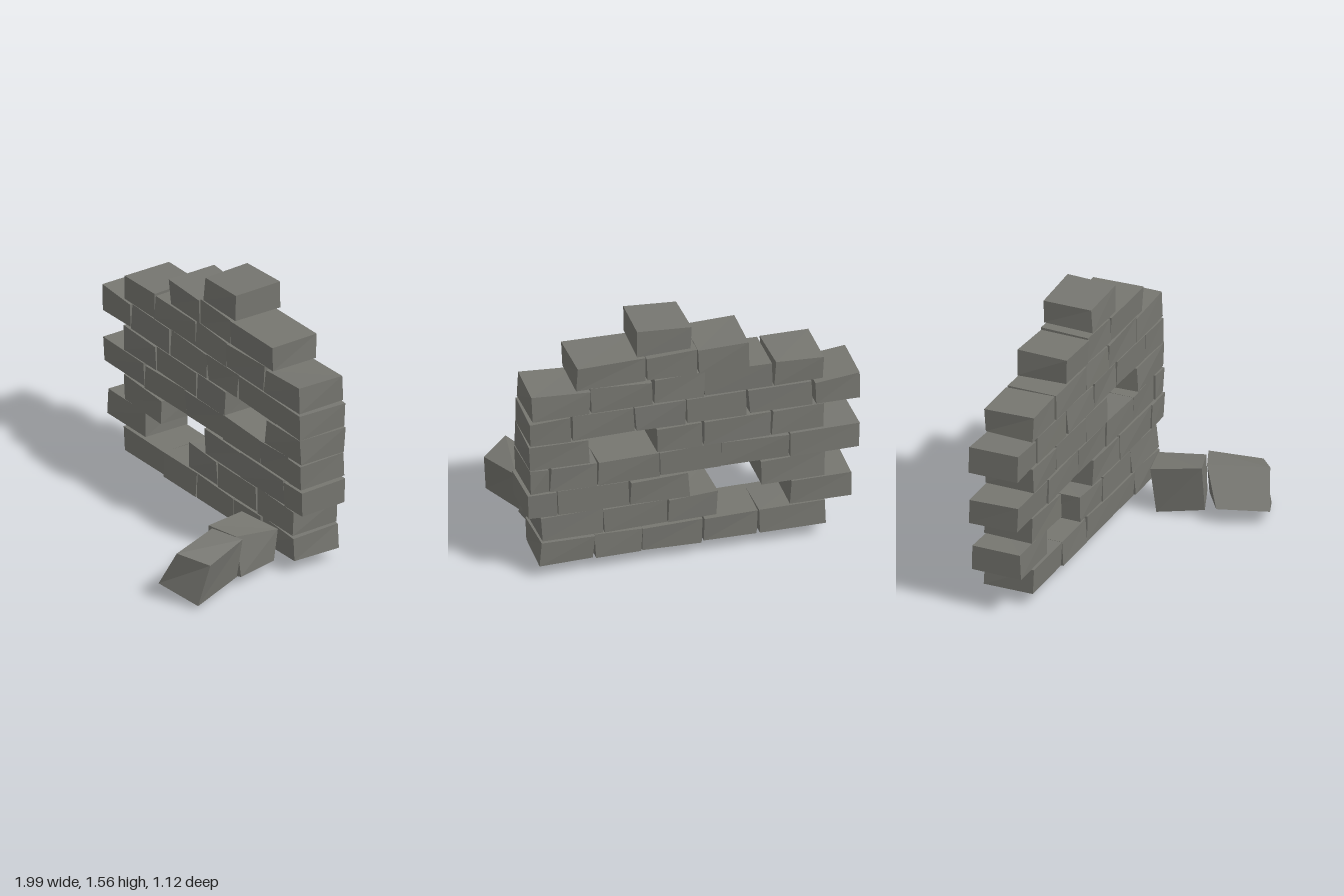
import * as THREE from 'three';

const stone = new THREE.MeshStandardMaterial({ color: 0x767670 });
stone.name = 'grey stone';

// Small seeded generator for the rough-cut corners
let seed = 7;
function jitter(amount) {
  seed = (seed * 16807) % 2147483647;
  return (seed / 2147483647 - 0.5) * 2 * amount;
}

// Box whose eight corners are placed freely.
// Corner order: x left/right, then y bottom/top, then z back/front.
function block(name, corners) {
  const box = new THREE.BoxGeometry(1, 1, 1);
  const p = box.attributes.position;
  for (let i = 0; i < p.count; i++) {
    const k = (p.getX(i) > 0 ? 1 : 0) + (p.getY(i) > 0 ? 2 : 0) + (p.getZ(i) > 0 ? 4 : 0);
    p.setXYZ(i, ...corners[k]);
  }
  const geometry = box.toNonIndexed();
  geometry.computeVertexNormals();
  const mesh = new THREE.Mesh(geometry, stone);
  mesh.name = name;
  return mesh;
}

// Each course: bottom height, then bricks as [left, right, rise of the right end]
const courses = [
  { y: 0.08, bricks: [[-0.78, -0.39, 0], [-0.38, -0.06, 0], [-0.05, 0.31, -0.01], [0.31, 0.59, 0.01], [0.6, 0.92, 0]] },
  { y: 0.245, bricks: [[-0.94, -0.58, 0], [-0.14, 0.15, -0.01], [0.16, 0.54, 0], [0.55, 0.91, -0.01]] },
  { y: 0.405, bricks: [[-0.78, -0.4, -0.01], [0.03, 0.38, -0.01], [0.39, 0.81, 0], [0.82, 0.995, 0]] },
  { y: 0.57, bricks: [[-0.99, -0.58, 0], [-0.57, -0.165, 0.01], [-0.165, 0.2, -0.01], [0.21, 0.575, -0.01], [0.58, 0.86, 0.01], [0.87, 0.985, 0]] },
  { y: 0.73, bricks: [[-0.78, -0.47, -0.01], [-0.46, -0.06, 0], [-0.05, 0.225, 0], [0.63, 0.985, 0.01]] },
  { y: 0.895, bricks: [[-0.995, -0.73, -0.02], [-0.71, -0.33, 0], [-0.31, 0.04, -0.01], [0.05, 0.35, -0.01], [0.36, 0.73, 0], [0.735, 0.985, -0.01]] },
  { y: 1.06, bricks: [[-0.775, -0.485, 0.01], [-0.47, -0.065, 0], [-0.06, 0.24, -0.01], [0.25, 0.62, 0.02], [0.625, 0.97, 0.02]] },
  { y: 1.22, bricks: [[-0.325, -0.03, -0.01], [-0.02, 0.28, -0.01], [0.285, 0.7, 0]] },
  { y: 1.395, bricks: [[0.015, 0.34, 0.02]] },
];

export function createModel() {
  seed = 7;
  const model = new THREE.Group();
  model.name = 'ruinedWall';

  // Standing wall, course by course
  courses.forEach(({ y, bricks }, row) => {
    const course = new THREE.Group();
    course.name = `course${row + 1}`;
    bricks.forEach(([x0, x1, rise], n) => {
      const corners = [];
      for (let k = 0; k < 8; k++) {
        const right = k & 1, top = k & 2, front = k & 4;
        corners.push([
          (right ? x1 : x0) + jitter(0.007),
          y + (top ? 0.154 + (right ? rise / 2 : -rise / 2) : 0) + jitter(0.004),
          (front ? -0.245 : -0.551) + jitter(0.007),
        ]);
      }
      course.add(block(`brick${n + 1}`, corners));
    });
    model.add(course);
  });

  // Two tumbled bricks in front of the wall
  const fallen = new THREE.Group();
  fallen.name = 'fallenBricks';
  fallen.add(block('fallenBrickBack', [
    [0.6, 0.0, -0.11], [0.83, 0.075, -0.165], [0.56, 0.29, -0.13], [0.82, 0.265, -0.2],
    [0.66, 0.045, 0.17], [0.865, 0.06, 0.09], [0.64, 0.32, 0.16], [0.83, 0.31, 0.1],
  ]));
  fallen.add(block('fallenBrickFront', [
    [0.6, 0.1, 0.27], [0.85, 0.06, 0.11], [0.69, 0.325, 0.17], [0.88, 0.31, 0.09],
    [0.71, 0.095, 0.56], [0.955, 0.02, 0.455], [0.82, 0.32, 0.51], [0.985, 0.275, 0.39],
  ]));
  model.add(fallen);
  return model;
}
